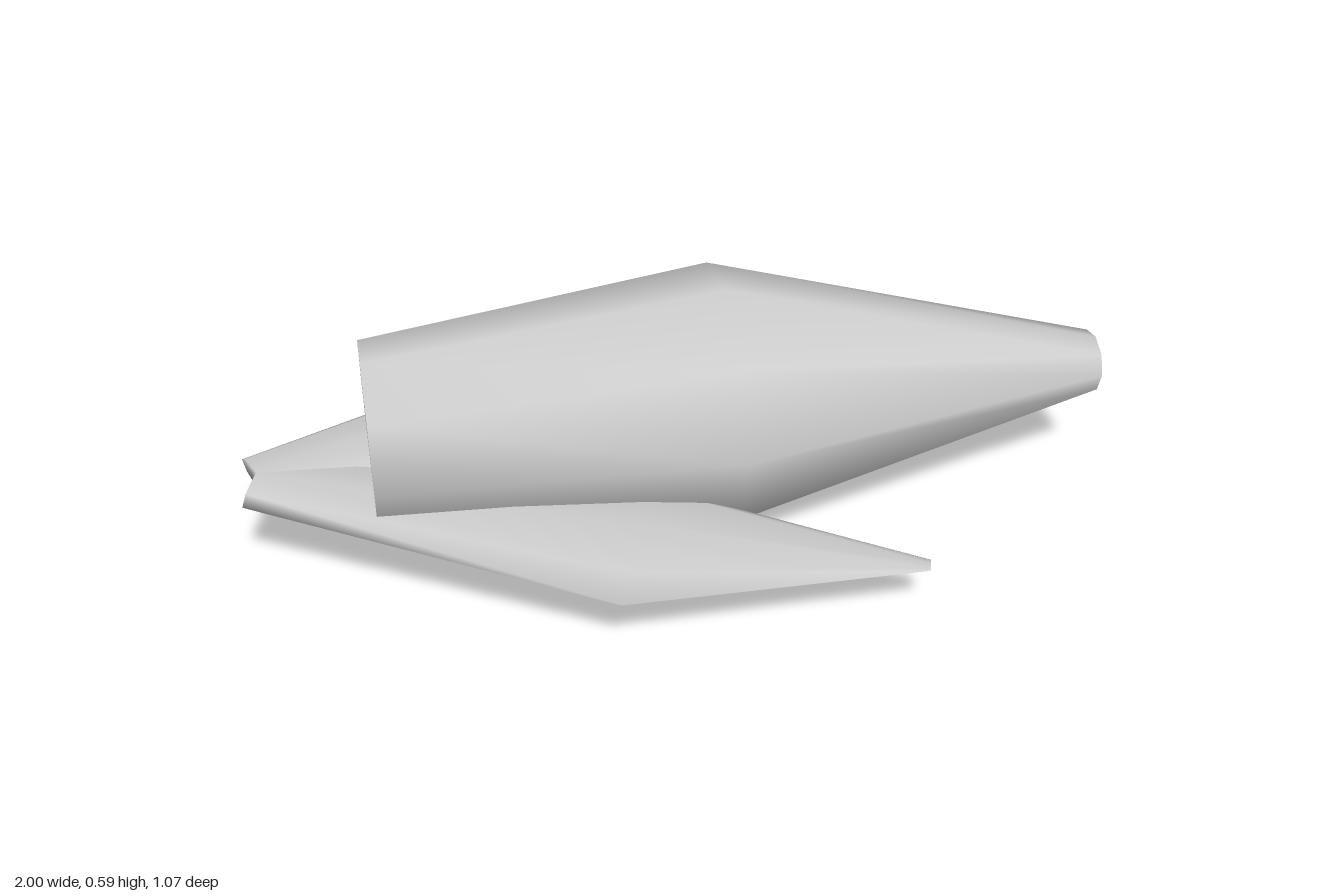
import * as THREE from 'three';

const SIDES_BODY = 9, SIDES_FIN = 8;

// Closed, smooth loft along +x. Each ring: centre, half width r, half height h.
// across is the horizontal direction of the ring plane, as [x, z].
function loft(rings, sides, across) {
  const pos = [], index = [];
  for (const { c, r, h } of rings) {
    for (let j = 0; j < sides; j++) {
      const a = (j / sides) * Math.PI * 2;
      const w = r * Math.cos(a);
      pos.push(c[0] + across[0] * w, c[1] + h * Math.sin(a), c[2] + across[1] * w);
    }
  }
  for (let i = 0; i < rings.length - 1; i++) {
    for (let j = 0; j < sides; j++) {
      const k = (j + 1) % sides;
      const a = i * sides + j, b = i * sides + k;
      index.push(a, a + sides, b, b, a + sides, b + sides);
    }
  }
  // end caps share the rim vertices, so the ends shade softly
  const last = (rings.length - 1) * sides;
  for (let j = 1; j < sides - 1; j++) {
    index.push(0, j, j + 1);
    index.push(last, last + j + 1, last + j);
  }
  const geo = new THREE.BufferGeometry();
  geo.setAttribute('position', new THREE.Float32BufferAttribute(pos, 3));
  geo.setIndex(index);
  geo.computeVertexNormals();
  return geo;
}

export function createModel() {
  const group = new THREE.Group();
  const grey = new THREE.MeshStandardMaterial({ color: 0xcccccc });
  grey.name = 'light grey';

  const add = (name, geo) => {
    const mesh = new THREE.Mesh(geo, grey);
    mesh.name = name;
    group.add(mesh);
  };

  // spindle hull: tail, widest point, nose
  add('hull', loft([
    { c: [-0.715, 0.277, 0], r: 0.226, h: 0.226 },
    { c: [0.09, 0.3, 0], r: 0.302, h: 0.302 },
    { c: [1, 0.277, 0], r: 0.074, h: 0.074 },
  ], SIDES_BODY, [0, 1]));

  // flattened, splayed fins that cross at the tail
  for (const [name, s] of [['rightFin', 1], ['leftFin', -1]]) {
    add(name, loft([
      { c: [-0.969, 0.203, 0.007 * s], r: 0.095, h: 0.024 },
      { c: [-0.168, 0.15, 0.329 * s], r: 0.22, h: 0.055 },
      { c: [0.443, 0.125, 0.506 * s], r: 0.02, h: 0.005 },
    ], SIDES_FIN, [-0.326 * s, 0.945]));
  }
  return group;
}
